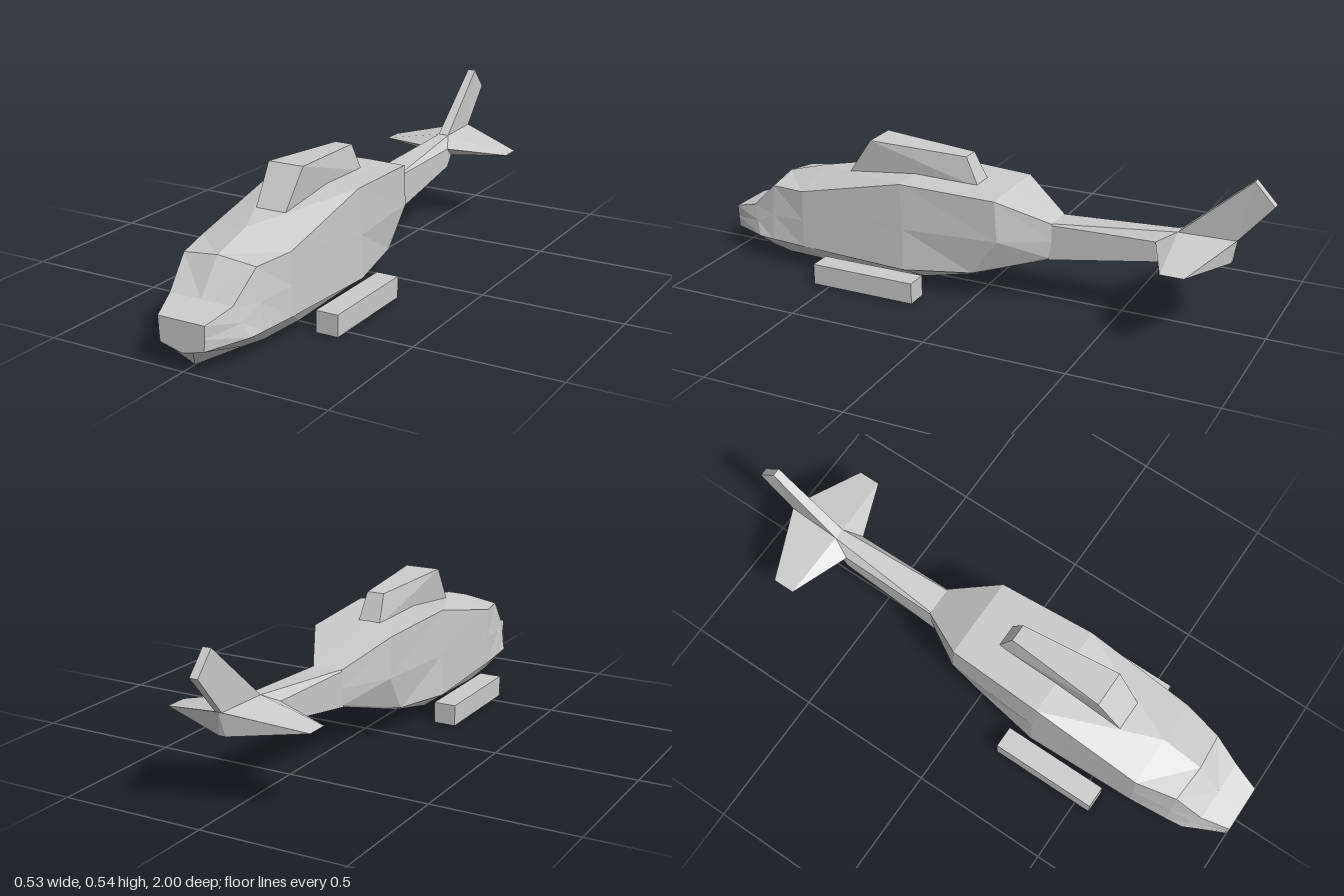
import * as THREE from 'three';

const material = new THREE.MeshStandardMaterial({ color: 0xcccccc, flatShading: true });

// Skins half cross-sections (top centre, down the +x side, to bottom centre)
// ordered front to back, mirrors them across x = 0 and closes both ends.
function loft(name, rings) {
  const pos = [];
  const tri = (a, b, c) => {
    pos.push(...a, ...b, ...c);
    for (const [x, y, z] of [a, c, b]) pos.push(-x, y, z);
  };
  for (let i = 0; i < rings.length - 1; i++) {
    const a = rings[i], b = rings[i + 1];
    for (let j = 0; j < a.length - 1; j++) {
      tri(a[j], a[j + 1], b[j + 1]);
      tri(a[j], b[j + 1], b[j]);
    }
  }
  const front = rings[0], back = rings[rings.length - 1];
  for (let k = 1; k < front.length - 1; k++) {
    tri(front[0], front[k + 1], front[k]);
    tri(back[0], back[k], back[k + 1]);
  }
  const geometry = new THREE.BufferGeometry();
  geometry.setAttribute('position', new THREE.Float32BufferAttribute(pos, 3));
  geometry.computeVertexNormals();
  const mesh = new THREE.Mesh(geometry, material);
  mesh.name = name;
  return mesh;
}

export function createModel() {
  const group = new THREE.Group();
  group.name = 'helicopter';

  // Fuselage: roof centre, roof edge, mid side, lower side, chine, keel
  group.add(loft('fuselage', [
    [[0, 0.163, 1], [0.085, 0.163, 1], [0.083, 0.12, 1], [0.08, 0.08, 1], [0.04, 0.07, 1], [0, 0.06, 1]],
    [[0, 0.195, 0.9], [0.115, 0.195, 0.9], [0.132, 0.14, 0.88], [0.15, 0.09, 0.86], [0.1, 0.04, 0.83], [0, 0, 0.94]],
    [[0, 0.307, 0.81], [0.133, 0.29, 0.8], [0.146, 0.18, 0.8], [0.157, 0.09, 0.8], [0.12, 0.037, 0.75], [0, 0.03, 0.8]],
    [[0, 0.35, 0.66], [0.165, 0.3, 0.66], [0.167, 0.19, 0.66], [0.169, 0.09, 0.66], [0.14, 0.043, 0.58], [0, 0.04, 0.58]],
    [[0, 0.393, 0.26], [0.169, 0.393, 0.26], [0.174, 0.23, 0.25], [0.178, 0.08, 0.25], [0.14, 0.055, 0.18], [0, 0.055, 0.18]],
    [[0, 0.383, -0.09], [0.15, 0.38, -0.09], [0.15, 0.235, -0.1], [0.14, 0.1, 0], [0.12, 0.09, 0], [0, 0.09, 0]],
    [[0, 0.295, -0.26], [0.055, 0.295, -0.26], [0.055, 0.23, -0.26], [0.055, 0.17, -0.25], [0.05, 0.163, -0.25], [0, 0.163, -0.25]],
  ]));

  // Tail boom, its roof narrowing towards the fin
  const boomEnd = [[0, 0.33, -0.69], [0.02, 0.33, -0.69], [0.05, 0.295, -0.625], [0.05, 0.225, -0.63], [0, 0.225, -0.63]];
  group.add(loft('tailBoom', [
    [[0, 0.295, -0.26], [0.05, 0.295, -0.26], [0.055, 0.29, -0.26], [0.055, 0.163, -0.25], [0, 0.163, -0.25]],
    boomEnd,
  ]));

  // Tailplane with thin outer edges
  group.add(loft('tailplane', [
    boomEnd,
    [[0, 0.33, -0.695], [0.02, 0.33, -0.695], [0.257, 0.278, -0.71], [0.03, 0.25, -0.7], [0, 0.25, -0.7]],
    [[0, 0.33, -0.885], [0.012, 0.33, -0.885], [0.257, 0.278, -0.79], [0.012, 0.25, -0.87], [0, 0.25, -0.87]],
  ]));

  // Swept tail fin
  group.add(loft('tailFin', [
    [[0, 0.541, -0.93], [0.015, 0.541, -0.93], [0.02, 0.33, -0.69], [0, 0.33, -0.69]],
    [[0, 0.465, -1], [0.015, 0.465, -1], [0.012, 0.33, -0.885], [0, 0.33, -0.885]],
  ]));

  // Tapered engine housing on the roof
  group.add(loft('engineHousing', [
    [[0, 0.495, 0.43], [0.065, 0.495, 0.43], [0.055, 0.365, 0.52], [0, 0.365, 0.52]],
    [[0, 0.478, 0.07], [0.032, 0.478, 0.07], [0.042, 0.375, 0.02], [0, 0.375, 0.02]],
  ]));

  // Side pods
  for (const [name, side] of [['leftPod', 1], ['rightPod', -1]]) {
    const pod = new THREE.Mesh(new THREE.BoxGeometry(0.08, 0.075, 0.39), material);
    pod.name = name;
    pod.position.set(side * 0.227, 0.04, 0.363);
    group.add(pod);
  }
  return group;
}
